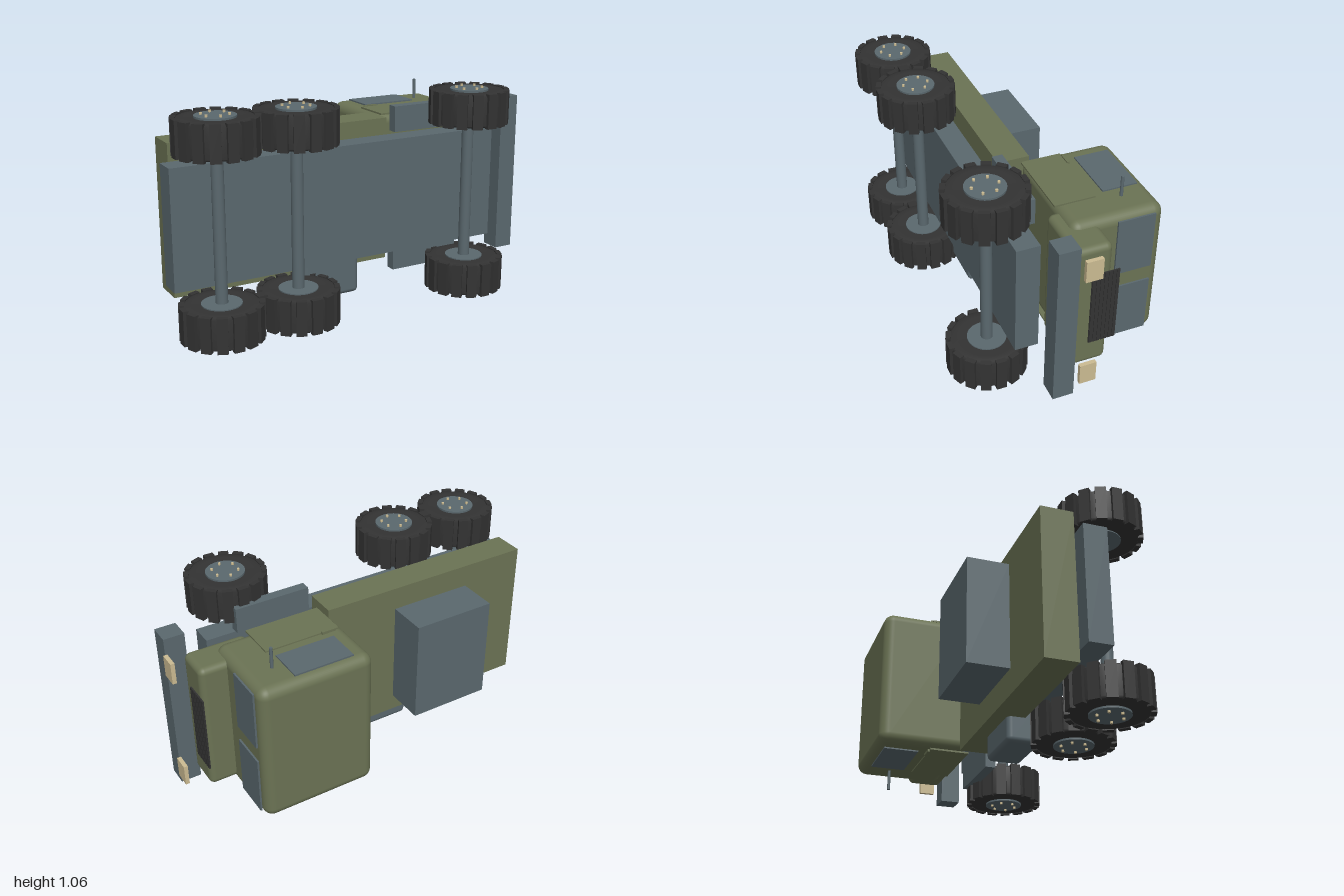
import * as THREE from 'three';
import { RoundedBoxGeometry } from 'three/addons/geometries/RoundedBoxGeometry.js';

// The truck lies on its side: nose along +x, roof towards -z, width along y.
const MID = 0.5375;

export function createModel() {
  const truck = new THREE.Group();
  truck.name = 'truck';

  const material = (name, color) => {
    const m = new THREE.MeshStandardMaterial({ color });
    m.name = name;
    return m;
  };
  const olive = material('olive paint', 0x6b7354);
  const slate = material('slate metal', 0x5a686e);
  const dark = material('dark rubber', 0x333333);
  const tan = material('tan lamp', 0xcbbb92);

  const add = (name, geometry, mat, x, y, z, parent = truck) => {
    const mesh = new THREE.Mesh(geometry, mat);
    mesh.name = name;
    mesh.position.set(x, y, z);
    parent.add(mesh);
    return mesh;
  };

  // Box from its extents; a radius rounds the edges
  const block = (name, mat, [x0, x1], [y0, y1], [z0, z1], radius = 0) => {
    const size = [x1 - x0, y1 - y0, z1 - z0];
    const geometry = radius
      ? new RoundedBoxGeometry(...size, 4, radius)
      : new THREE.BoxGeometry(...size);
    return add(name, geometry, mat, (x0 + x1) / 2, (y0 + y1) / 2, (z0 + z1) / 2);
  };

  // The same box on both sides of the truck
  const pair = (name, mat, xs, [y0, y1], zs, radius) => {
    block(name + 'Left', mat, xs, [y0, y1], zs, radius);
    block(name + 'Right', mat, xs, [2 * MID - y1, 2 * MID - y0], zs, radius);
  };

  // Chassis, bed and cargo
  block('chassis', slate, [-1, 0.75], [0.248, 0.828], [0.11, 0.226]);
  block('bed', olive, [-0.955, 0.195], [0.168, 0.908], [-0.072, 0.088]);
  block('cargoBox', slate, [-0.605, -0.175], [0.27, 0.805], [-0.295, -0.09]);
  block('fuelTank', slate, [-0.32, -0.01], [0.045, 0.25], [0, 0.17], 0.025);
  pair('step', slate, [0.22, 0.605], [0.838, 0.968], [0.075, 0.127]);

  // Cab and hood
  block('cab', olive, [0.195, 0.772], [0.175, 0.9], [-0.485, -0.025], 0.05);
  block('hood', olive, [0.6, 0.905], [0.205, 0.873], [-0.163, 0.02], 0.03);
  pair('door', olive, [0.227, 0.605], [0.898, 0.907], [-0.218, -0.017]);
  pair('doorHandle', olive, [0.245, 0.318], [0.9, 0.913], [-0.227, -0.214]);
  pair('sideWindow', slate, [0.282, 0.58], [0.898, 0.907], [-0.443, -0.267]);
  pair('windscreen', slate, [0.773, 0.782], [0.577, 0.873], [-0.433, -0.247]);
  for (const side of [-1, 1]) {
    add('mirrorRod', new THREE.CylinderGeometry(0.008, 0.008, 0.12, 16), slate,
      0.634, MID + side * 0.408, -0.333);
  }

  // Grille with slats
  block('grille', dark, [0.911, 0.916], [0.342, 0.735], [-0.195, -0.061]);
  const slats = 7, pitch = 0.134 / slats;
  for (let i = 0; i < slats; i++) {
    const z = -0.195 + (i + 0.5) * pitch;
    block('grilleSlat', dark, [0.915, 0.919], [0.342, 0.735], [z - 0.007, z + 0.007]);
  }

  // Bumper and headlights
  block('bumper', slate, [0.88, 0.982], [0.118, 0.958], [0.034, 0.136]);
  pair('headlight', tan, [0.978, 0.998], [0.782, 0.89], [-0.067, 0.014]);

  // Wheel parts, shared by all six wheels
  const tireProfile = [
    [0.085, -0.078], [0.14, -0.082], [0.172, -0.08], [0.184, -0.07],
    [0.184, 0.07], [0.172, 0.08], [0.14, 0.082], [0.085, 0.078],
  ].map(([r, h]) => new THREE.Vector2(r, h));
  const tireGeometry = new THREE.LatheGeometry(tireProfile, 40);
  const lugGeometry = new THREE.BoxGeometry(0.026, 0.17, 0.05);
  const hubGeometry = new THREE.CylinderGeometry(0.095, 0.095, 0.172, 32);
  const boltGeometry = new THREE.CylinderGeometry(0.007, 0.007, 0.02, 8);

  const makeWheel = (side) => {
    const wheel = new THREE.Group();
    wheel.name = 'wheel';
    add('tire', tireGeometry, dark, 0, 0, 0, wheel);
    add('hub', hubGeometry, slate, 0, side * 0.002, 0, wheel);
    for (let i = 0; i < 16; i++) {
      const a = (i / 16) * Math.PI * 2;
      const lug = add('treadLug', lugGeometry, dark,
        0.184 * Math.cos(a), 0, 0.184 * Math.sin(a), wheel);
      lug.rotation.y = -a;
    }
    for (let i = 0; i < 6; i++) {
      const a = Math.PI / 2 + (i / 6) * Math.PI * 2;
      add('wheelBolt', boltGeometry, tan,
        0.063 * Math.cos(a), side * 0.088, 0.063 * Math.sin(a), wheel);
    }
    return wheel;
  };

  // Three axles, each with a wheel at both ends
  const axleGeometry = new THREE.CylinderGeometry(0.029, 0.029, 0.86, 24);
  for (const x of [-0.8, -0.41, 0.55]) {
    add('axle', axleGeometry, slate, x, MID, 0.288);
    for (const side of [-1, 1]) {
      const wheel = makeWheel(side);
      wheel.position.set(x, MID + side * 0.433, 0.288);
      truck.add(wheel);
    }
  }

  return truck;
}
